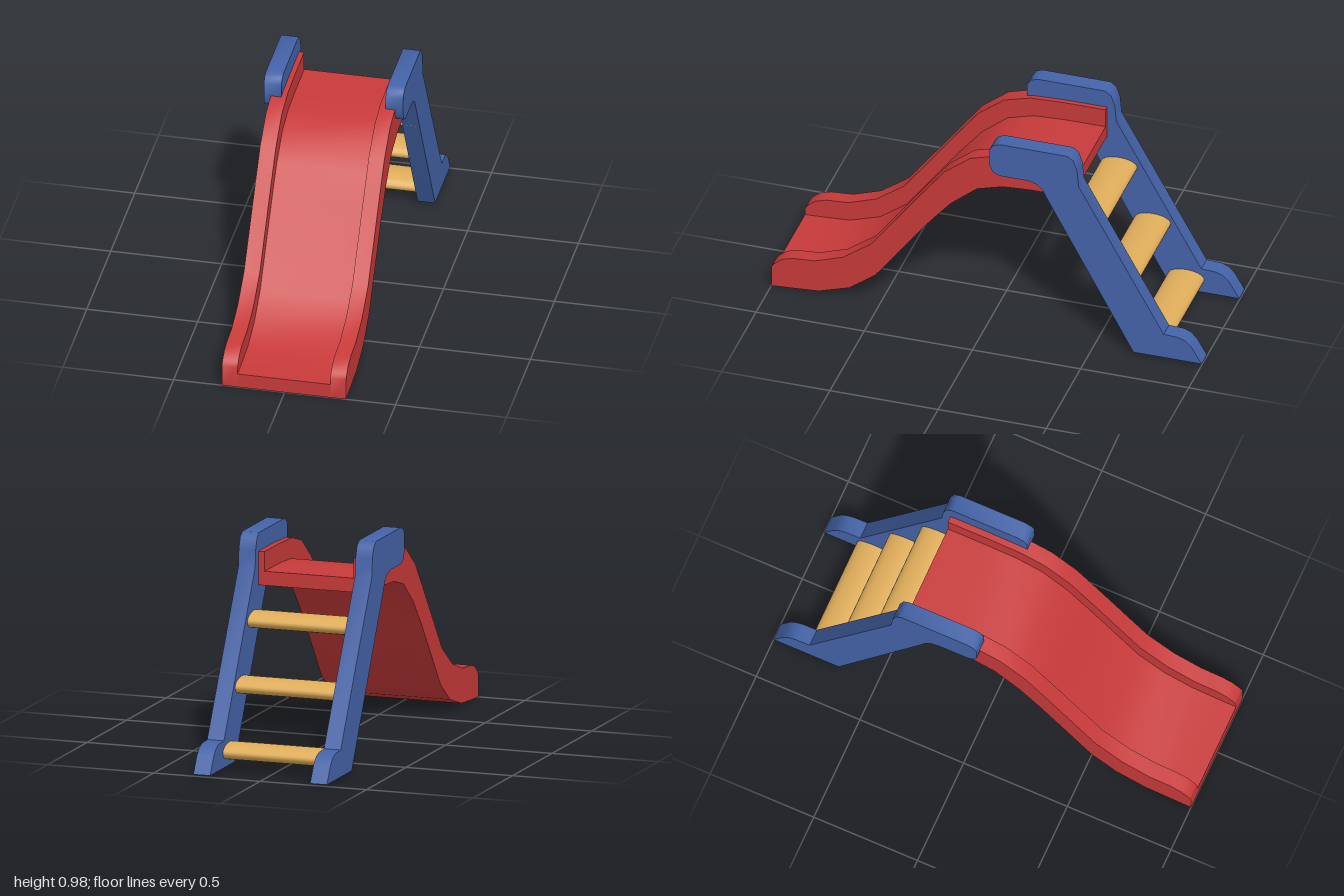
import * as THREE from 'three';
import { toCreasedNormals } from 'three/addons/utils/BufferGeometryUtils.js';

const red = new THREE.MeshStandardMaterial({ color: 0xc83a3a });
red.name = 'slide red';
const blue = new THREE.MeshStandardMaterial({ color: 0x4463a8 });
blue.name = 'frame blue';
const yellow = new THREE.MeshStandardMaterial({ color: 0xdfad5a });
yellow.name = 'step yellow';

// Extrude a side profile of [z, y] points across the width from x0 to x1
function sidePart(name, points, x0, x1, material) {
  const shape = new THREE.Shape(points.map(([z, y]) => new THREE.Vector2(z, y)));
  let geo = new THREE.ExtrudeGeometry(shape, { depth: x1 - x0, bevelEnabled: false });
  geo.rotateY(-Math.PI / 2);
  geo.translate(x1, 0, 0);
  geo = toCreasedNormals(geo, 0.65);
  const mesh = new THREE.Mesh(geo, material);
  mesh.name = name;
  return mesh;
}

export function createModel() {
  const model = new THREE.Group();
  model.name = 'playgroundSlide';

  // Chute: matching underside and wall-top points from the nose to the platform
  const under = [[1, 0], [0.9, 0.006], [0.78, 0.015], [0.64, 0.06], [0.52, 0.15], [0.28, 0.47],
    [0.17, 0.6], [0.05, 0.7], [-0.07, 0.735], [-0.2, 0.743], [-0.39, 0.745]];
  const rim = [[1, 0.16], [0.9, 0.163], [0.8, 0.17], [0.67, 0.215], [0.54, 0.31], [0.3, 0.63],
    [0.2, 0.76], [0.08, 0.855], [-0.04, 0.89], [-0.2, 0.897], [-0.39, 0.897]];
  const nose = [[1, 0.1], [0.985, 0.12], [0.95, 0.148]];

  // The floor surface lies part way between underside and rim
  const floor = under.map(([z, y], i) => [z + (rim[i][0] - z) * 0.42, y + (rim[i][1] - y) * 0.42]);
  const wall = [...under, ...rim.slice(1).reverse(), ...nose.slice().reverse()];

  const chute = new THREE.Group();
  chute.name = 'chute';
  chute.add(sidePart('chuteFloor', [...under, ...floor.slice().reverse()], -0.209, 0.209, red));
  chute.add(sidePart('leftWall', wall, 0.209, 0.28, red));
  chute.add(sidePart('rightWall', wall, -0.28, -0.209, red));
  chute.position.x = -0.003;
  model.add(chute);

  // Side frames: handrail, sloping leg and foot in one profile
  const frame = [[-0.02, 0.945], [-0.038, 0.97], [-0.07, 0.98], [-0.38, 0.98], [-0.408, 0.96],
    [-0.425, 0.91], [-0.432, 0.83], [-0.825, 0.13], [-0.89, 0.127], [-0.925, 0.115], [-0.955, 0.085],
    [-1, 0.008], [-0.685, 0.008], [-0.285, 0.74], [-0.265, 0.78], [-0.24, 0.803], [-0.2, 0.815],
    [-0.065, 0.815], [-0.035, 0.83], [-0.02, 0.86]];
  model.add(sidePart('leftFrame', frame, 0.235, 0.314, blue));
  model.add(sidePart('rightFrame', frame, -0.314, -0.235, blue));

  // Ladder steps: flattened round bars set into the frames
  for (let i = 0; i < 3; i++) {
    const geo = new THREE.CylinderGeometry(1, 1, 0.6, 24);
    geo.rotateZ(Math.PI / 2);
    geo.scale(1, 0.038, 0.084);
    const step = new THREE.Mesh(geo, yellow);
    step.name = 'step' + (i + 1);
    step.position.set(0, 0.075 + i * 0.265, -0.755 + i * 0.155);
    model.add(step);
  }
  return model;
}
